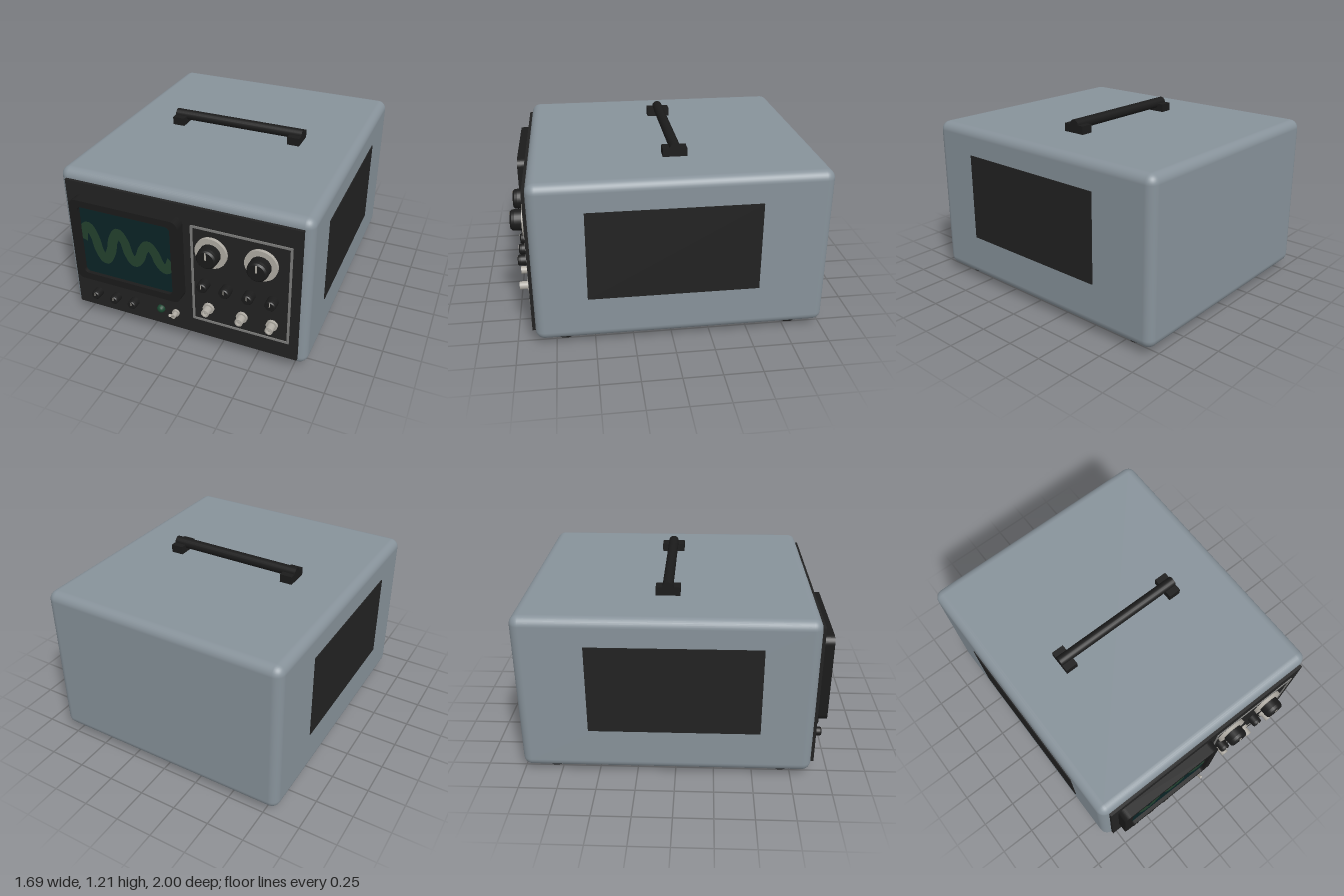
import * as THREE from 'three';
import { RoundedBoxGeometry } from 'three/addons/geometries/RoundedBoxGeometry.js';

const mat = (name, color, side = THREE.FrontSide) => {
  const m = new THREE.MeshStandardMaterial({ color, side });
  m.name = name;
  return m;
};

// Rectangle outline with rounded corners, for shapes and holes
function roundedRect(target, x0, y0, x1, y1, r) {
  target.moveTo(x0 + r, y0);
  target.lineTo(x1 - r, y0);
  target.absarc(x1 - r, y0 + r, r, -Math.PI / 2, 0);
  target.lineTo(x1, y1 - r);
  target.absarc(x1 - r, y1 - r, r, 0, Math.PI / 2);
  target.lineTo(x0 + r, y1);
  target.absarc(x0 + r, y1 - r, r, Math.PI / 2, Math.PI);
  target.lineTo(x0, y0 + r);
  target.absarc(x0 + r, y0 + r, r, Math.PI, Math.PI * 1.5);
  return target;
}

export function createModel() {
  const model = new THREE.Group();
  model.name = 'oscilloscope';

  const casing = mat('casing grey', 0x87929a);
  const panelBlack = mat('panel black', 0x222222);
  const black = mat('knob black', 0x1b1b1b);
  const metal = mat('pale metal', 0xb0aca4);
  const lineGrey = mat('line grey', 0x7c7c7a);
  const screenTeal = mat('screen teal', 0x0b2426);
  const traceGreen = mat('trace green', 0x24412e, THREE.DoubleSide);
  const lampGreen = mat('lamp green', 0x1b4630);

  const FACE = 0.9; // z of the control panel surface

  function add(name, geometry, material, x = 0, y = 0, z = 0, parent = model) {
    const mesh = new THREE.Mesh(geometry, material);
    mesh.name = name;
    mesh.position.set(x, y, z);
    parent.add(mesh);
    return mesh;
  }
  const box = (w, h, d) => new THREE.BoxGeometry(w, h, d);

  // Solid of revolution about z from [radius, z] pairs
  function turned(points, segments = 24) {
    const geo = new THREE.LatheGeometry(points.map(p => new THREE.Vector2(p[0], p[1])), segments);
    return geo.rotateX(Math.PI / 2);
  }
  // Same with hard edges between the steps
  function turnedHard(points, segments = 24) {
    const doubled = points.flatMap((p, i) => (i && i < points.length - 1 ? [p, p] : [p]));
    return turned(doubled, segments);
  }
  // Frame or plate extruded along z
  function plate(rect, hole, depth) {
    const shape = roundedRect(new THREE.Shape(), ...rect);
    if (hole) shape.holes.push(roundedRect(new THREE.Path(), ...hole));
    return new THREE.ExtrudeGeometry(shape, { depth, bevelEnabled: false, curveSegments: 6 });
  }

  // Casing, control panel and side vents
  add('casing', new RoundedBoxGeometry(1.68, 1.075, 1.88, 4, 0.06), casing, 0, 0.5825, -0.06);
  add('controlPanel', box(1.57, 0.96, 0.04), panelBlack, 0, 0.58, 0.88);
  for (const s of [-1, 1]) {
    add(s > 0 ? 'leftVentPanel' : 'rightVentPanel', box(0.02, 0.595, 1.095), panelBlack, s * 0.836, 0.6375, -0.0075);
  }

  // Screen with its surround and trace
  add('screenBezel', plate([-0.73, 0.37, 0.03, 0.97, 0.05], [-0.67, 0.42, -0.025, 0.925, 0.03], 0.07), black, 0, 0, FACE);
  add('screen', box(0.66, 0.52, 0.04), screenTeal, -0.3475, 0.6725, 0.925);

  const wave = [
    [-0.667, 0.67], [-0.655, 0.735], [-0.617, 0.78], [-0.575, 0.71], [-0.55, 0.61], [-0.51, 0.55],
    [-0.465, 0.62], [-0.44, 0.72], [-0.4, 0.78], [-0.36, 0.725], [-0.335, 0.64], [-0.297, 0.585],
    [-0.255, 0.63], [-0.23, 0.695], [-0.19, 0.74], [-0.145, 0.69], [-0.12, 0.63], [-0.08, 0.59],
    [-0.05, 0.615], [-0.028, 0.67],
  ];
  const curve = new THREE.CatmullRomCurve3(wave.map(p => new THREE.Vector3(p[0], p[1], 0)));
  const STEPS = 120, HALF = 0.034;
  const ribbon = new THREE.PlaneGeometry(1, 1, STEPS, 1);
  const rp = ribbon.attributes.position;
  for (let i = 0; i <= STEPS; i++) {
    const p = curve.getPoint(i / STEPS), t = curve.getTangent(i / STEPS);
    for (const row of [0, 1]) {
      const side = row ? -HALF : HALF;
      const x = THREE.MathUtils.clamp(p.x - t.y * side, -0.669, -0.026);
      rp.setXYZ(row * (STEPS + 1) + i, x, p.y + t.x * side, 0);
    }
  }
  add('trace', ribbon, traceGreen, 0, 0, 0.948);

  // Outline around the control section
  add('controlOutline', plate([0.08, 0.22, 0.73, 0.935, 0.006], [0.095, 0.235, 0.715, 0.92, 0.003], 0.006), lineGrey, 0, 0, FACE);

  // Round knob with a pointer line
  function knob(name, x, y, r, height, dial) {
    const g = new THREE.Group();
    g.name = name;
    g.position.set(x, y, FACE);
    model.add(g);
    if (dial) add('dialRing', turnedHard([[dial, 0], [dial, 0.022], [0, 0.022]], 32), metal, 0, 0, 0, g);
    const profile = [[r, 0], [r, height * 0.7], [r * 0.95, height * 0.9], [r * 0.8, height], [0, height]];
    add('cap', turnedHard(profile), black, 0, 0, 0, g);
    add('pointer', box(r * 0.16, r * 0.75, 0.006), metal, 0, r * 0.42, height, g);
  }
  for (const x of [0.22, 0.542]) knob('largeKnob', x, 0.773, 0.068, 0.097, 0.105);
  for (const x of [0.17, 0.32, 0.47, 0.618]) knob('smallKnob', x, 0.524, 0.036, 0.065);
  for (const x of [-0.623, -0.483, -0.347]) knob('lowerKnob', x, 0.226, 0.031, 0.06);

  // Coaxial sockets
  for (const x of [0.193, 0.42, 0.618]) {
    add('socket', turnedHard([[0.037, 0], [0.037, 0.018], [0.026, 0.018], [0.026, 0.068], [0.018, 0.068],
      [0.018, 0.045], [0.009, 0.045], [0.009, 0.062], [0, 0.062]], 20), metal, x, 0.338, FACE);
  }

  // Power lamp and toggle switch
  add('lamp', turned([[0.028, 0], [0.027, 0.012], [0.02, 0.023], [0.01, 0.028], [0, 0.03]], 20), lampGreen, -0.152, 0.224, FACE);
  add('switchCollar', turnedHard([[0.025, 0], [0.025, 0.015], [0.017, 0.015], [0.017, 0.05], [0, 0.05]], 12), metal, -0.043, 0.224, FACE);
  const lever = add('switchLever', new THREE.CylinderGeometry(0.01, 0.007, 0.07, 12), metal, -0.043, 0.244, 0.963);
  lever.rotation.x = 0.9;

  // Carrying handle
  for (const s of [-1, 1]) add('handleMount', box(0.085, 0.065, 0.157), black, s * 0.4225, 1.1425, -0.0585);
  const grip = add('handleGrip', new THREE.CylinderGeometry(0.035, 0.035, 0.93, 20), black, 0, 1.174, -0.06);
  grip.rotation.z = Math.PI / 2;

  // Feet
  for (const x of [-0.695, 0.695]) {
    for (const z of [0.69, -0.8]) add('foot', new THREE.CylinderGeometry(0.057, 0.057, 0.06, 20), black, x, 0.03, z);
  }

  return model;
}
